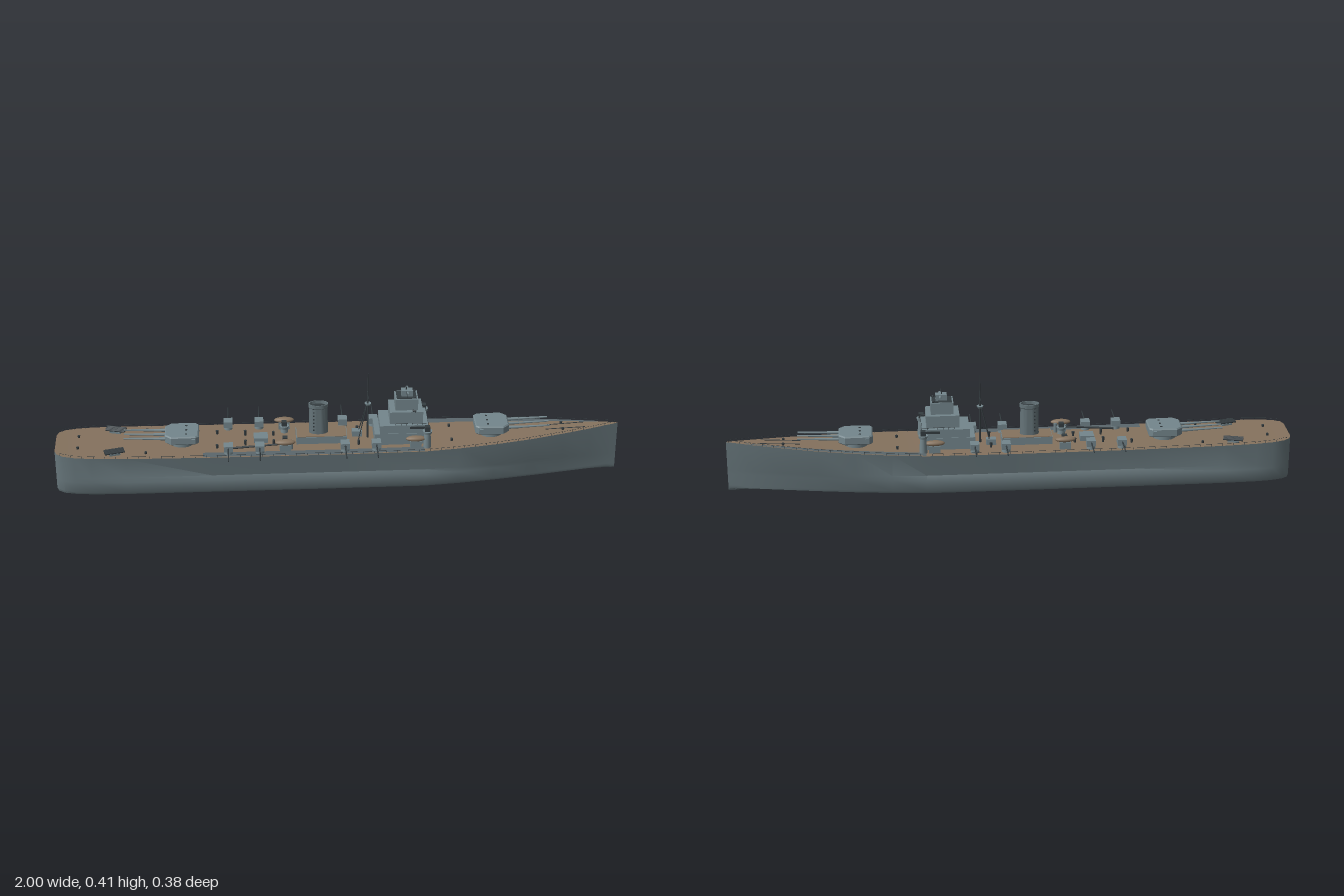
import * as THREE from 'three';
import { toCreasedNormals } from 'three/addons/utils/BufferGeometryUtils.js';

const mat = (name, color, side = THREE.FrontSide) => {
  const m = new THREE.MeshStandardMaterial({ color, side });
  m.name = name;
  return m;
};

// Station table: x, deck half-beam, deck height
const STATIONS = [
  [-1, 0.055, 0.164], [-0.992, 0.077, 0.164], [-0.97, 0.093, 0.163], [-0.93, 0.104, 0.162],
  [-0.87, 0.111, 0.161], [-0.75, 0.115, 0.159], [-0.45, 0.116, 0.156], [0, 0.116, 0.155],
  [0.3, 0.115, 0.157], [0.42, 0.108, 0.161], [0.55, 0.094, 0.166], [0.68, 0.074, 0.171],
  [0.8, 0.05, 0.177], [0.9, 0.027, 0.182], [0.97, 0.009, 0.186], [1, 0.0015, 0.187],
];
function station(x) {
  let i = 0;
  while (i < STATIONS.length - 2 && x > STATIONS[i + 1][0]) i++;
  const a = STATIONS[i], b = STATIONS[i + 1], t = (x - a[0]) / (b[0] - a[0]);
  return { beam: a[1] + (b[1] - a[1]) * t, y: a[2] + (b[2] - a[2]) * t };
}
const deckY = (x) => station(x).y;

function gridGeometry(rows) {
  const pos = [], idx = [], n = rows[0].length;
  rows.forEach((r) => r.forEach((p) => pos.push(...p)));
  for (let i = 0; i < rows.length - 1; i++) {
    for (let j = 0; j < n - 1; j++) {
      const a = i * n + j, b = a + n;
      idx.push(a, a + 1, b, b, a + 1, b + 1);
    }
  }
  const g = new THREE.BufferGeometry();
  g.setAttribute('position', new THREE.Float32BufferAttribute(pos, 3));
  g.setIndex(idx);
  g.computeVertexNormals();
  return g;
}

// Half section of the hull from keel to deck edge, with an anti-torpedo bulge
function hullRow([x, beam, top]) {
  const fine = Math.max(0, (x - 0.3) / 0.7);
  const bulge = THREE.MathUtils.clamp(Math.min((x + 0.9) * 5, (0.55 - x) * 4), 0, 1);
  const low = beam * (1 - 0.28 * fine);
  const half = [
    [0, 0.003], [low * 0.6, 0.007], [low * 0.94, 0.012], [low * 0.995, 0.022],
    [low + 0.001 * bulge, 0.063], [beam * (1 - 0.16 * fine) - 0.008 * bulge, 0.079], [beam, top],
  ];
  const right = half.slice(1).reverse().map(([z, y]) => [x, y, -z]);
  return [...right, ...half.map(([z, y]) => [x, y, z])];
}

// Flat deck strip between two fractions of the half-beam
function deckStrip(x0, x1, f0, f1, lift) {
  const xs = [x0, ...STATIONS.map((s) => s[0]).filter((x) => x > x0 && x < x1), x1];
  return gridGeometry(xs.map((x) => {
    const s = station(x);
    return [[x, s.y + lift, s.beam * f1], [x, s.y + lift, s.beam * f0]].reverse();
  }));
}

export function createModel() {
  const root = new THREE.Group();
  root.name = 'warship';
  const hullGrey = mat('hull grey', 0x66757a, THREE.DoubleSide);
  const grey = mat('upperworks grey', 0x74868c);
  const wood = mat('deck wood', 0x85725e, THREE.DoubleSide);
  const dark = mat('dark fittings', 0x343c40);
  const steel = mat('steel deck', 0x5b676c, THREE.DoubleSide);

  const add = (name, geo, material, x = 0, y = 0, z = 0, parent = root) => {
    const m = new THREE.Mesh(geo, material);
    m.name = name;
    m.position.set(x, y, z);
    parent.add(m);
    return m;
  };
  // Box given by its ranges
  const box = (name, m, x0, x1, y0, y1, z0, z1, parent = root) =>
    add(name, new THREE.BoxGeometry(x1 - x0, y1 - y0, z1 - z0), m,
      (x0 + x1) / 2, (y0 + y1) / 2, (z0 + z1) / 2, parent);
  // Round bar between two points
  const bar = (name, m, a, b, r0, r1 = r0, parent = root, sides = 8) => {
    const A = new THREE.Vector3(...a), B = new THREE.Vector3(...b), d = B.clone().sub(A);
    const c = add(name, new THREE.CylinderGeometry(r1, r0, d.length(), sides), m, 0, 0, 0, parent);
    c.position.copy(A).add(B).multiplyScalar(0.5);
    c.quaternion.setFromUnitVectors(new THREE.Vector3(0, 1, 0), d.normalize());
    return c;
  };
  const group = (name, x, y, z, turn = 0) => {
    const g = new THREE.Group();
    g.name = name;
    g.position.set(x, y, z);
    g.rotation.y = turn;
    root.add(g);
    return g;
  };

  // Hull, transom and decks
  const rows = STATIONS.map(hullRow);
  add('hull', toCreasedNormals(gridGeometry(rows), 0.6), hullGrey);
  const transom = new THREE.Shape(rows[0].map(([, y, z]) => new THREE.Vector2(z, y)));
  add('transom', new THREE.ShapeGeometry(transom), hullGrey, -1).rotation.y = -Math.PI / 2;
  const flip = root.getObjectByName('transom');
  flip.scale.x = 1;
  add('mainDeck', deckStrip(-1, 1, 1, -1, 0), wood);
  add('steelDeckMidships', deckStrip(-0.48, 0.3, 0.98, 0.72, 0.0015), steel);
  add('steelDeckBow', deckStrip(0.3, 0.93, -0.74, -0.99, 0.0015), steel);

  // Deck edge railing on both sides
  for (const s of [-1, 1]) {
    let last = null;
    for (let x = -0.98; x < 0.99; x += 0.0394) {
      const st = station(x), p = [x, st.y + 0.008, s * st.beam * 0.985];
      bar('railPost', dark, [x, st.y, p[2]], p, 0.0008, 0.0008, root, 4);
      if (last) bar('railWire', dark, last, p, 0.0005, 0.0005, root, 4);
      last = p;
    }
  }

  // Triple main turrets
  const plan = new THREE.Shape([
    [-0.06, -0.042], [-0.048, -0.052], [0.038, -0.054], [0.06, -0.034],
    [0.06, 0.034], [0.038, 0.054], [-0.048, 0.052], [-0.06, 0.042],
  ].map(([x, y]) => new THREE.Vector2(x, y)));
  for (const [x, turn] of [[0.545, 0], [-0.553, Math.PI]]) {
    const base = deckY(x);
    const t = group('mainTurret', x, base, 0, turn);
    add('barbette', new THREE.CylinderGeometry(0.043, 0.043, 0.02, 24), grey, 0, 0.009, 0, t);
    const house = new THREE.ExtrudeGeometry(plan, {
      depth: 0.024, bevelThickness: 0.004, bevelSize: 0.004, bevelOffset: -0.004, bevelSegments: 1 });
    add('gunhouse', house, grey, 0, 0.019, 0, t).rotation.x = -Math.PI / 2;
    box('rangefinder', grey, -0.046, -0.034, 0.03, 0.04, -0.06, 0.06, t);
    for (const z of [-0.03, 0, 0.03]) {
      bar('gunSleeve', grey, [0.055, 0.031, z], [0.1, 0.032, z], 0.006, 0.005, t);
      bar('mainBarrel', grey, [0.1, 0.032, z], [0.205, 0.036, z], 0.0042, 0.003, t);
      add('roofHatch', new THREE.CylinderGeometry(0.004, 0.004, 0.003, 8), dark, -0.015, 0.047, z, t);
    }
  }

  // Secondary guns along both sides
  for (const x of [-0.39, -0.28, 0.02, 0.13]) {
    for (const s of [-1, 1]) {
      const g = group('secondaryGun', x, deckY(x), s * 0.088, s > 0 ? 0 : Math.PI);
      add('mount', new THREE.CylinderGeometry(0.014, 0.016, 0.014, 12), grey, 0, 0.007, 0, g);
      box('shield', grey, -0.016, 0.016, 0.012, 0.034, -0.018, 0.016, g);
      bar('secondaryBarrel', dark, [0, 0.026, 0.014], [0, 0.027, 0.102], 0.0028, 0.002, g);
    }
  }

  // Bridge tower in stepped tiers
  const y0 = deckY(0.2);
  box('bridgeBase', grey, 0.126, 0.307, y0 - 0.004, 0.2, -0.06, 0.06);
  box('bridgeHouse', grey, 0.145, 0.307, 0.2, 0.231, -0.058, 0.058);
  box('bridgeWing', grey, 0.2, 0.315, 0.229, 0.234, -0.062, 0.062);
  box('middleTier', grey, 0.18, 0.297, 0.234, 0.279, -0.048, 0.048);
  box('upperTier', grey, 0.2, 0.28, 0.279, 0.322, -0.033, 0.033);
  box('upperRoofRim', dark, 0.205, 0.275, 0.322, 0.3235, -0.028, 0.028);
  box('directorBase', grey, 0.222, 0.262, 0.322, 0.345, -0.013, 0.013);
  bar('towerRangefinder', grey, [0.245, 0.338, -0.031], [0.245, 0.338, 0.031], 0.005);
  bar('signalArm', dark, [0.24, 0.342, 0], [0.24, 0.342, 0.052], 0.0012);
  bar('towerAerial', dark, [0.24, 0.345, 0], [0.24, 0.357, 0], 0.0025, 0.001);
  box('windowBand', dark, 0.307, 0.309, 0.217, 0.227, -0.05, 0.05);
  for (let z = -0.044; z < 0.05; z += 0.011) box('bridgeWindow', steel, 0.309, 0.3095, 0.219, 0.225, z - 0.0035, z + 0.0035);
  for (const z of [-0.008, 0, 0.008]) box('directorWindow', dark, 0.262, 0.2628, 0.336, 0.34, z - 0.0025, z + 0.0025);
  for (const s of [-1, 1]) {
    box('sideWindowBand', dark, 0.25, 0.305, 0.217, 0.226, s * 0.0585 - 0.0006, s * 0.0585 + 0.0006);
    bar('wingRail', dark, [0.2, 0.241, s * 0.061], [0.314, 0.241, s * 0.061], 0.0007);
    add('towerLookout', new THREE.SphereGeometry(0.004, 8, 6), dark, 0.27, 0.326, s * 0.024);
    for (let x = 0.2; x < 0.32; x += 0.019) bar('wingPost', dark, [x, 0.234, s * 0.061], [x, 0.241, s * 0.061], 0.0007);
  }
  bar('wingFrontRail', dark, [0.314, 0.241, -0.061], [0.314, 0.241, 0.061], 0.0007);
  bar('searchlight', dark, [0.26, 0.285, 0.047], [0.27, 0.285, 0.054], 0.004);

  // Funnel: oval shell, dark mouth, rim and ladder rungs
  box('funnelHouse', grey, -0.15, 0.03, 0.15, 0.182, -0.038, 0.038);
  box('funnelHouseRoof', wood, -0.148, 0.028, 0.182, 0.184, -0.036, 0.036);
  const funnel = group('funnel', -0.07, 0.182, 0);
  funnel.scale.z = 0.62;
  const profile = [[0.034, 0], [0.032, 0.1], [0.035, 0.103], [0.035, 0.116], [0.031, 0.116], [0.029, 0.1]];
  add('funnelShell', toCreasedNormals(new THREE.LatheGeometry(profile.map(([r, y]) => new THREE.Vector2(r, y)), 28), 0.7), hullGrey, 0, 0, 0, funnel);
  add('funnelMouth', new THREE.CylinderGeometry(0.03, 0.03, 0.002, 28), dark, 0, 0.104, 0, funnel);
  for (let y = 0.015; y < 0.1; y += 0.014) {
    for (const s of [-1, 1]) box('ladderRung', dark, -0.02, -0.015, y, y + 0.005, s * 0.029 - 0.001, s * 0.029 + 0.001, funnel);
  }

  // Mast with stays and lookout
  bar('mast', dark, [0.105, 0.155, 0], [0.105, 0.345, 0], 0.004, 0.0025);
  bar('topmast', dark, [0.105, 0.345, 0], [0.105, 0.411, 0], 0.0022, 0.001);
  for (const s of [-1, 1]) bar('mastLeg', dark, [0.07, 0.157, s * 0.025], [0.104, 0.3, 0], 0.0018);
  add('lookout', new THREE.CylinderGeometry(0.012, 0.008, 0.008, 12), grey, 0.105, 0.29, 0);
  bar('yard', dark, [0.105, 0.325, -0.028], [0.105, 0.325, 0.028], 0.0012);

  for (const s of [-1, 1]) {
    // Boats on chocks
    for (const x of [-0.19, 0.27]) {
      const y = deckY(x);
      box('boatChock', grey, x - 0.02, x + 0.02, y, y + 0.026, s * 0.08 - 0.01, s * 0.08 + 0.01);
      add('boat', new THREE.SphereGeometry(1, 16, 10), wood, x, y + 0.034, s * 0.08).scale.set(0.036, 0.01, 0.014);
    }
    // High-angle directors on pedestals
    for (const x of [0.31, -0.19]) {
      const h = x > 0 ? 0.06 : 0.02, y = deckY(x), z = s * (x > 0 ? 0.082 : 0.055);
      add('directorPedestal', new THREE.CylinderGeometry(0.011, 0.014, h, 12), grey, x, y + h / 2, z);
      add('directorTub', new THREE.CylinderGeometry(0.017, 0.015, 0.01, 16), grey, x, y + h, z);
      box('directorHead', dark, x - 0.009, x + 0.009, y + h + 0.005, y + h + 0.022, z - 0.009, z + 0.009);
    }
    // Torpedo tube banks near the stern
    const tubes = group('torpedoTubes', -0.79, deckY(-0.79), s * 0.078, s * 0.25);
    box('tubeBase', grey, -0.02, 0.02, 0, 0.007, -0.014, 0.014, tubes);
    for (const z of [-0.012, -0.004, 0.004, 0.012]) bar('tube', dark, [-0.035, 0.011, z], [0.035, 0.011, z], 0.004, 0.004, tubes);
    // Ventilators, bollards and portable fittings
    for (const [x, z, h] of [[-0.43, 0.05, 0.014], [-0.33, 0.035, 0.02], [-0.23, 0.03, 0.016], [0.07, 0.05, 0.018], [0.4, 0.05, 0.01], [0.8, 0.022, 0.008], [-0.92, 0.04, 0.008], [-0.68, 0.08, 0.008]]) {
      add('ventilator', new THREE.CylinderGeometry(0.005, 0.004, h, 8), dark, x, deckY(x) + h / 2, s * z);
    }
    bar('anchorChain', dark, [0.74, deckY(0.74) + 0.003, s * 0.015], [0.88, deckY(0.88) + 0.003, s * 0.017], 0.0015);
  }

  // Boat crane and deck lockers
  bar('craneJib', dark, [-0.38, 0.163, 0.066], [-0.17, 0.178, 0.068], 0.004, 0.003);
  bar('cranePost', grey, [-0.17, 0.155, 0.068], [-0.17, 0.19, 0.068], 0.007);
  box('aftLocker', grey, -0.3, -0.25, 0.154, 0.174, -0.022, 0.022);
  box('midLocker', grey, 0.05, 0.085, 0.154, 0.176, -0.03, -0.005);
  return root;
}
